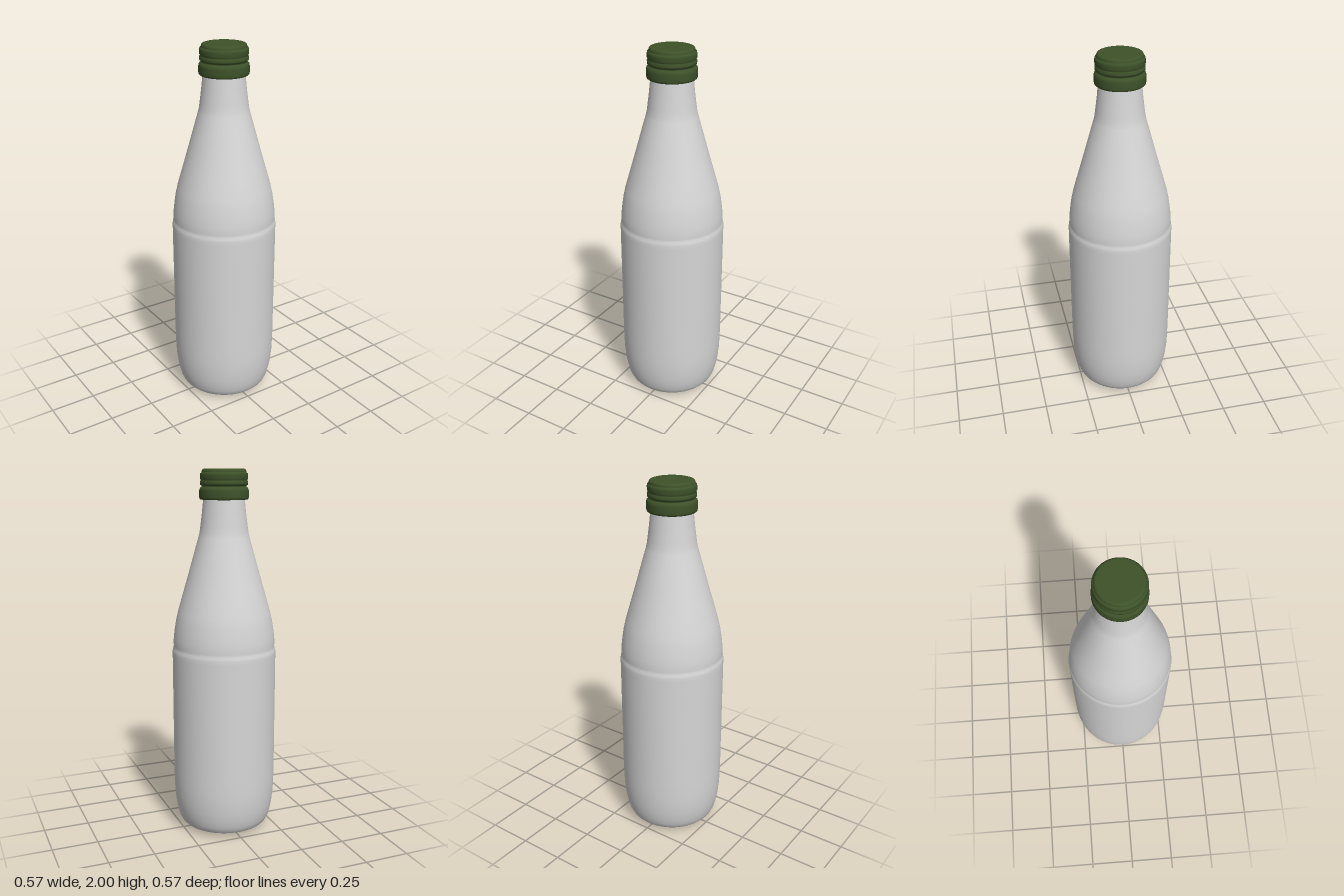
import * as THREE from 'three';

const SEGMENTS = 72;

// Revolve a [radius, height] profile, listed from bottom to top
function lathe(name, profile, material) {
  const points = profile.map(([r, y]) => new THREE.Vector2(r, y));
  const mesh = new THREE.Mesh(new THREE.LatheGeometry(points, SEGMENTS), material);
  mesh.name = name;
  return mesh;
}

export function createModel() {
  const glass = new THREE.MeshStandardMaterial({ color: 0xd6d6d6 });
  glass.name = 'pale grey bottle';
  const green = new THREE.MeshStandardMaterial({ color: 0x3d5229 });
  green.name = 'dark green cap';

  const group = new THREE.Group();
  group.name = 'bottle';

  // Slightly domed underside
  group.add(lathe('base', [
    [0, 0], [0.10, 0.002], [0.17, 0.01], [0.21, 0.019], [0.235, 0.028],
  ], glass));

  // Rounded foot, straight wall and the small step at the shoulder
  group.add(lathe('body', [
    [0.235, 0.028], [0.246, 0.04], [0.258, 0.065], [0.268, 0.105], [0.276, 0.15],
    [0.282, 0.21], [0.284, 0.27], [0.285, 0.35], [0.285, 0.7], [0.285, 1.0],
    [0.285, 1.02], [0.283, 1.033], [0.279, 1.043], [0.278, 1.055], [0.279, 1.07],
    [0.277, 1.10], [0.272, 1.14], [0.264, 1.19], [0.253, 1.24],
    [0.227, 1.33], [0.195, 1.44], [0.164, 1.55], [0.137, 1.645],
    [0.131, 1.67], [0.127, 1.70], [0.118, 1.77], [0.110, 1.85],
  ], glass));

  // Screw cap: wide lower band, groove, threaded upper band, raised rim
  group.add(lathe('cap', [
    [0.100, 1.842], [0.126, 1.842], [0.130, 1.846], [0.132, 1.855],
    [0.132, 1.885], [0.130, 1.897], [0.125, 1.904], [0.119, 1.908],
    [0.119, 1.914], [0.126, 1.918], [0.127, 1.924], [0.127, 1.934],
    [0.123, 1.939], [0.123, 1.944], [0.127, 1.949], [0.127, 1.970],
    [0.125, 1.978], [0.119, 1.981], [0.118, 1.985], [0.117, 1.992],
    [0.113, 1.998], [0.107, 2.0], [0.102, 2.0], [0, 2.0],
  ], green));

  return group;
}
